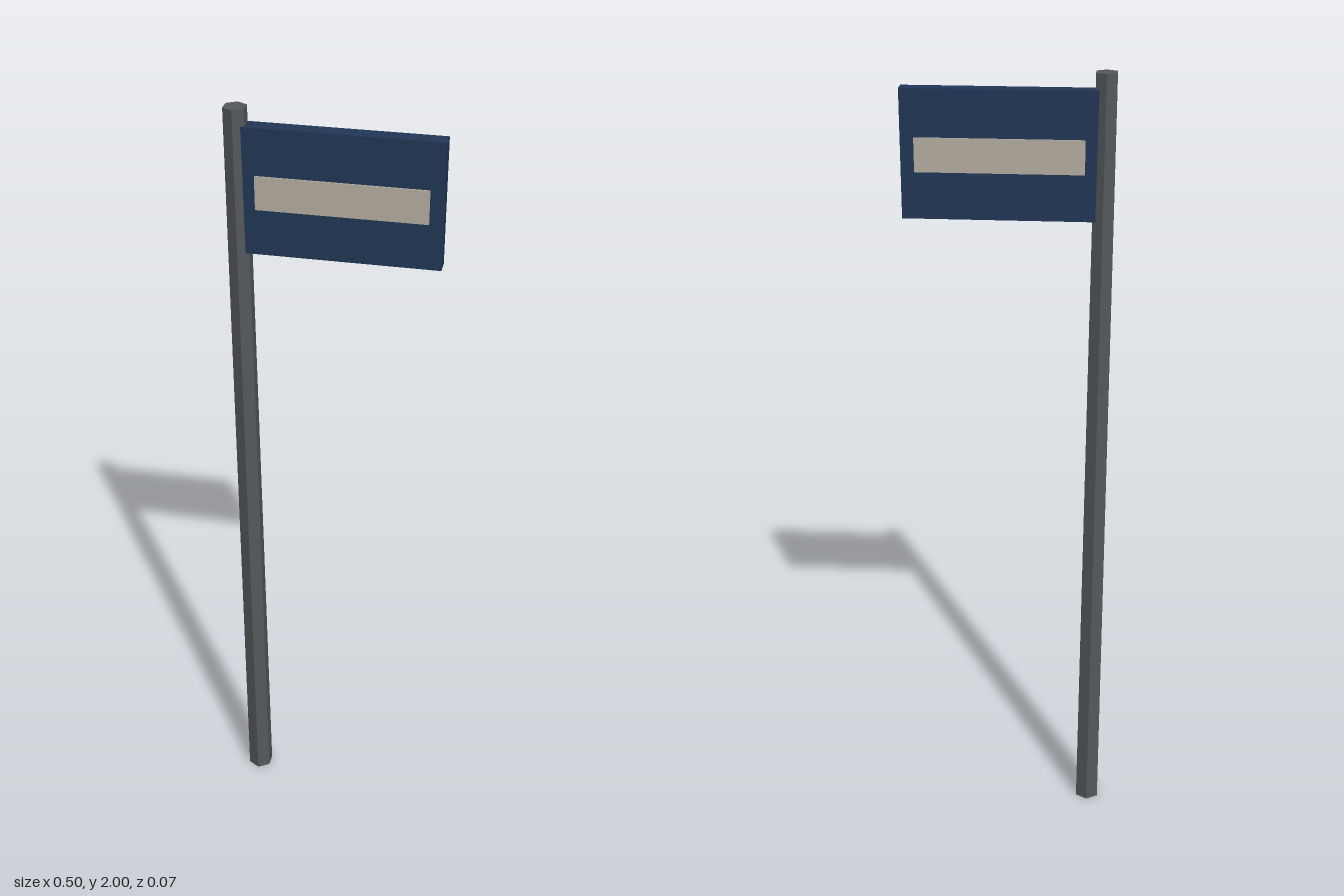
import * as THREE from 'three';

export function createModel() {
  const material = (name, color) => {
    const m = new THREE.MeshStandardMaterial({ color });
    m.name = name;
    return m;
  };
  const steel = material('grey steel', 0x55595c);
  steel.flatShading = true;
  const blue = material('navy blue', 0x213756);
  const cream = material('warm pale grey', 0xb5aea2);

  const model = new THREE.Group();
  model.name = 'signpost';
  const add = (name, geometry, mat, x, y, z) => {
    const mesh = new THREE.Mesh(geometry, mat);
    mesh.name = name;
    mesh.position.set(x, y, z);
    model.add(mesh);
  };

  // Slightly tapered hexagonal pole
  add('pole', new THREE.CylinderGeometry(0.028, 0.034, 2, 6), steel, -0.221, 1, 0);

  // Board, its inner end set into the pole
  add('signBoard', new THREE.BoxGeometry(0.459, 0.302, 0.038), blue, 0.0205, 1.81, 0);

  // Thin pale panel on each face of the board
  for (const side of [1, -1]) {
    add(side > 0 ? 'frontPanel' : 'backPanel',
      new THREE.BoxGeometry(0.395, 0.08, 0.004), cream, 0.0205, 1.81, side * 0.021);
  }
  return model;
}
